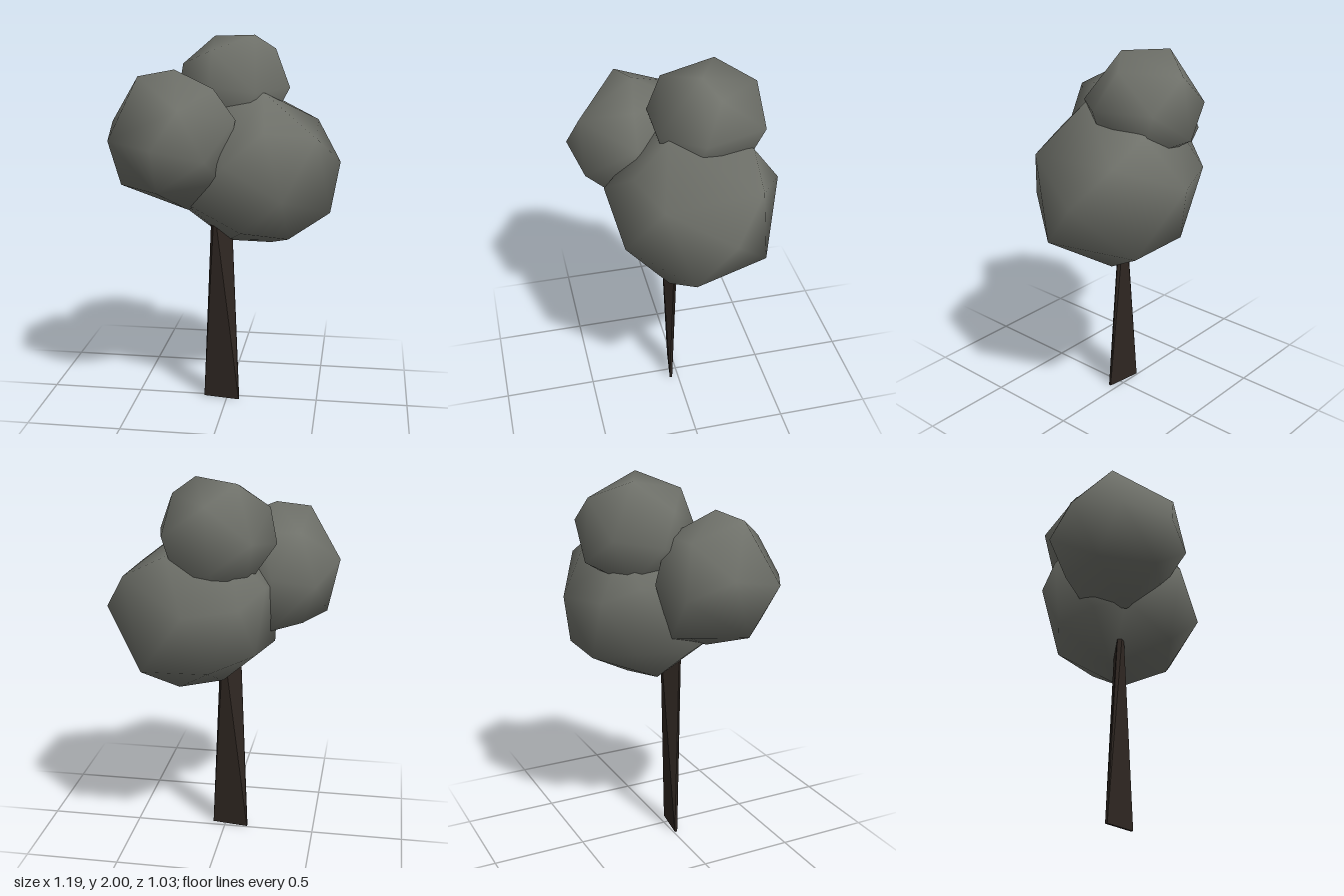
import * as THREE from 'three';
import { ConvexGeometry } from 'three/addons/geometries/ConvexGeometry.js';

const leafMaterial = new THREE.MeshStandardMaterial({ color: 0x6f716a });
const barkMaterial = new THREE.MeshStandardMaterial({ color: 0x2f2722 });

// Low-poly leaf ball: hull of a few corner points, shaded smoothly around its centre
function leafBall(name, center, points) {
  const geometry = new ConvexGeometry(points.map((p) => new THREE.Vector3(...p)));
  const middle = new THREE.Vector3(...center);
  const { position, normal } = geometry.attributes;
  const v = new THREE.Vector3();
  for (let i = 0; i < position.count; i++) {
    v.fromBufferAttribute(position, i).sub(middle).normalize();
    normal.setXYZ(i, v.x, v.y, v.z);
  }
  const mesh = new THREE.Mesh(geometry, leafMaterial);
  mesh.name = name;
  return mesh;
}

// Thin rectangular end of the trunk between a and b, given as [x, z]
function trunkEnd(y, a, b, thickness) {
  const along = new THREE.Vector2(b[0] - a[0], b[1] - a[1]).normalize();
  const dx = (-along.y * thickness) / 2;
  const dz = (along.x * thickness) / 2;
  return [a, b].flatMap(([x, z]) => [
    new THREE.Vector3(x + dx, y, z + dz),
    new THREE.Vector3(x - dx, y, z - dz),
  ]);
}

export function createModel() {
  const tree = new THREE.Group();
  tree.name = 'tree';

  // Flat trunk, twisted between its foot and its top
  const trunk = new THREE.Mesh(
    new ConvexGeometry([
      ...trunkEnd(0, [-0.128, 0.014], [0.07, 0.043], 0.014),
      ...trunkEnd(1.1, [-0.07, 0.064], [0.013, -0.008], 0.026),
    ]),
    barkMaterial
  );
  trunk.name = 'trunk';
  tree.add(trunk);

  // Large leaf ball
  tree.add(leafBall('largeLeafBall', [0.14, 1.305, -0.07], [
    [0.2, 1.72, 0.08], [-0.08, 1.66, 0.06], [-0.06, 1.67, -0.25],
    [0.46, 1.53, -0.33], [0.48, 1.5, 0.16], [0.593, 1.325, -0.17],
    [0.55, 1.085, 0.02], [0.125, 1.38, -0.515], [-0.14, 1.4, -0.415],
    [0.03, 1.385, 0.38], [0.32, 1.2, 0.33], [0.105, 1.02, 0.27],
    [0.22, 1.54, 0.26], [0.337, 0.955, 0.11], [-0.2, 1.15, 0.18],
    [-0.27, 1.12, 0.02], [-0.2, 1.12, -0.25], [-0.28, 1.42, 0.05],
    [-0.25, 1.48, -0.25], [0.365, 1.05, -0.395], [0.02, 1.06, -0.405],
    [0.225, 0.875, -0.115], [0, 0.9, -0.04], [0.24, 1.64, -0.34],
  ]));

  // Leaf ball at the front right
  tree.add(leafBall('sideLeafBall', [-0.265, 1.475, 0.165], [
    [-0.25, 1.84, 0.165], [-0.425, 1.81, 0.23], [-0.045, 1.75, 0.2],
    [-0.597, 1.56, 0.09], [-0.305, 1.48, 0.517], [-0.18, 1.67, 0.46],
    [0.069, 1.595, 0.205], [-0.05, 1.42, 0.46], [-0.555, 1.5, 0.365],
    [-0.49, 1.46, -0.12], [-0.27, 1.5, -0.18], [-0.2, 1.72, -0.08],
    [-0.4, 1.72, -0.05], [-0.18, 1.11, 0.165], [-0.53, 1.245, 0.21],
    [-0.3, 1.25, 0.42], [0.01, 1.28, 0.27], [-0.25, 1.2, -0.08],
    [-0.42, 1.25, -0.06],
  ]));

  // Leaf ball on top
  tree.add(leafBall('topLeafBall', [0.02, 1.7, -0.15], [
    [0.13, 2, -0.1], [-0.1, 1.985, -0.22], [0.235, 1.925, -0.17],
    [-0.075, 1.93, 0.06], [0.03, 1.9, -0.405], [-0.245, 1.85, -0.06],
    [0.32, 1.73, -0.08], [0.245, 1.75, -0.395], [-0.195, 1.72, -0.37],
    [0, 1.58, -0.44], [0.16, 1.72, 0.125], [-0.08, 1.75, 0.13],
    [-0.29, 1.68, -0.135], [-0.21, 1.6, 0.03], [0.2, 1.5, -0.05],
    [0, 1.4, -0.15], [-0.15, 1.48, -0.25], [0.2, 1.52, -0.3],
    [0.02, 1.48, 0.05],
  ]));

  return tree;
}
